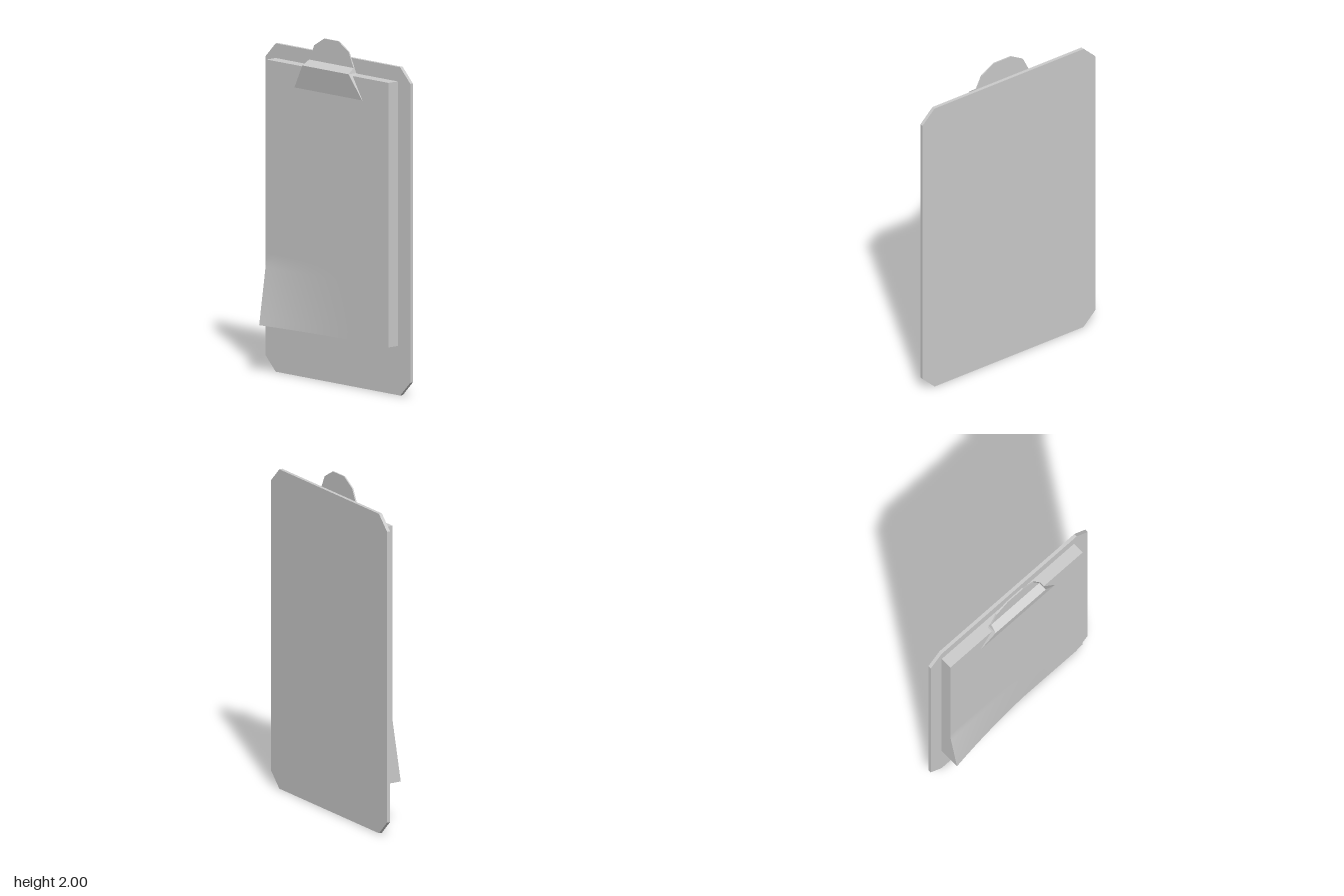
import * as THREE from 'three';

const material = new THREE.MeshStandardMaterial({ color: 0xcccccc });
const flatMaterial = new THREE.MeshStandardMaterial({ color: 0xcccccc, flatShading: true });

function part(name, geometry, mat = flatMaterial) {
  const mesh = new THREE.Mesh(geometry, mat);
  mesh.name = name;
  return mesh;
}

// Thin board with chamfered corners
function boardGeometry() {
  const w = 0.61, h = 1.905, c = 0.085;
  const shape = new THREE.Shape([
    [-w + c, 0], [w - c, 0], [w, c], [w, h - c],
    [w - c, h], [-w + c, h], [-w, h - c], [-w, c],
  ].map(([x, y]) => new THREE.Vector2(x, y)));
  return new THREE.ExtrudeGeometry(shape, { depth: 0.02, bevelEnabled: false }).translate(0, 0, -0.075);
}

// Stack of paper whose lower corner lifts off towards the front
function paperGeometry() {
  const left = -0.525, right = 0.505, bottom = 0.285, top = 1.82, back = -0.055, front = 0.017;
  const g = new THREE.BoxGeometry(right - left, top - bottom, front - back, 20, 37, 1);
  g.translate((left + right) / 2, (bottom + top) / 2, (back + front) / 2);
  const p = g.attributes.position;
  for (let i = 0; i < p.count; i++) {
    if (p.getZ(i) < 0) continue;
    const s = Math.max(0, (0.66 - p.getY(i)) / (0.66 - bottom));
    const t = Math.max(0, (0.25 - p.getX(i)) / (0.25 - left));
    p.setZ(i, front + 0.056 * s * t * t);
  }
  g.computeVertexNormals();
  return g;
}

// Clip: rectangular sections stacked upwards, from the flared jaw to the rounded grip
function clipGeometry() {
  // y, half width, front z, back z
  const sections = [
    [1.69, 0.285, 0.02, 0.014],
    [1.832, 0.195, 0.042, -0.018],
    [1.862, 0.187, -0.004, -0.012],
    [1.95, 0.145, -0.004, -0.012],
    [2.0, 0.06, -0.004, -0.012],
  ];
  const positions = [], index = [];
  for (const [y, w, f, b] of sections) positions.push(-w, y, f, w, y, f, w, y, b, -w, y, b);
  const last = (sections.length - 1) * 4;
  for (let r = 0; r < last; r += 4) {
    for (let k = 0; k < 4; k++) {
      const a = r + k, b = r + (k + 1) % 4;
      index.push(a, b, b + 4, a, b + 4, a + 4);
    }
  }
  index.push(0, 2, 1, 0, 3, 2, last, last + 1, last + 2, last, last + 2, last + 3);
  const g = new THREE.BufferGeometry();
  g.setAttribute('position', new THREE.Float32BufferAttribute(positions, 3));
  g.setIndex(index);
  const flat = g.toNonIndexed();
  flat.computeVertexNormals();
  return flat;
}

export function createModel() {
  const group = new THREE.Group();
  group.name = 'clipboard';
  group.add(
    part('board', boardGeometry()),
    part('paperStack', paperGeometry(), material),
    part('clip', clipGeometry()),
  );
  return group;
}
